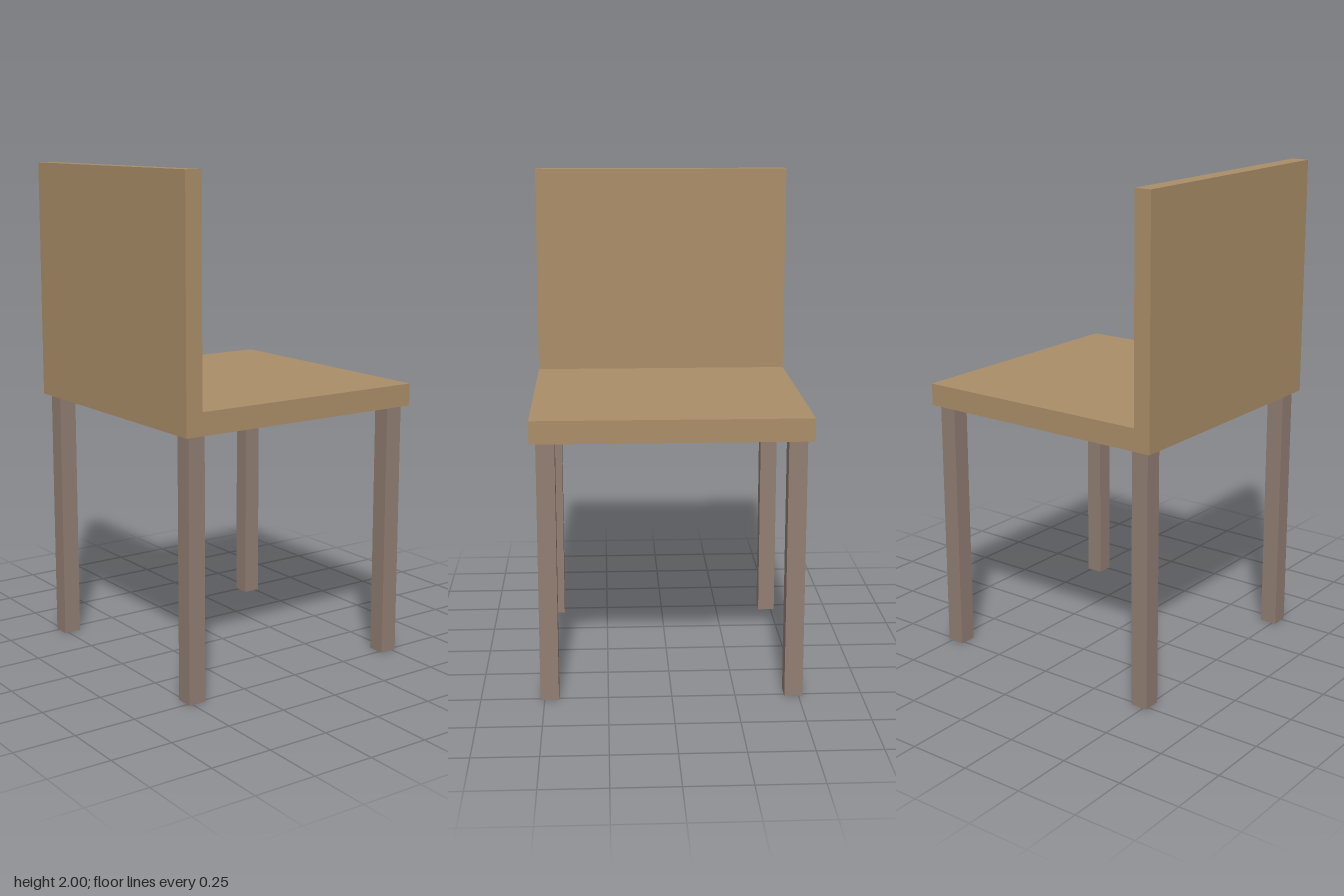
import * as THREE from 'three';

export function createModel() {
  const chair = new THREE.Group();
  chair.name = 'chair';
  const seatMaterial = new THREE.MeshStandardMaterial({ color: 0xab8e69 });
  const legMaterial = new THREE.MeshStandardMaterial({ color: 0x917e73 });

  const half = 0.54;          // half width and depth of the seat
  const seatBottom = 1.04;
  const seatTop = 1.13;
  const backThickness = 0.07;
  const height = 2;

  // Seat and backrest: one L-shaped side profile, drawn with x = -z, extruded across the width
  const profile = new THREE.Shape([
    [-half, seatBottom], [half, seatBottom], [half, seatTop],
    [-half + backThickness, seatTop], [-half + backThickness, height], [-half, height],
  ].map(([x, y]) => new THREE.Vector2(x, y)));
  const seatGeometry = new THREE.ExtrudeGeometry(profile, { depth: half * 2, bevelEnabled: false });
  seatGeometry.translate(0, 0, -half).rotateY(Math.PI / 2);
  const seat = new THREE.Mesh(seatGeometry, seatMaterial);
  seat.name = 'seatAndBackrest';
  chair.add(seat);

  // Four square legs, set in slightly from the seat corners
  const legGeometry = new THREE.BoxGeometry(0.072, seatBottom, 0.072);
  for (const [sideName, sx] of [['Left', 1], ['Right', -1]]) {
    for (const [endName, sz] of [['front', 1], ['back', -1]]) {
      const leg = new THREE.Mesh(legGeometry, legMaterial);
      leg.name = `${endName}${sideName}Leg`;
      leg.position.set(sx * 0.48, seatBottom / 2, sz * 0.48);
      chair.add(leg);
    }
  }

  return chair;
}
